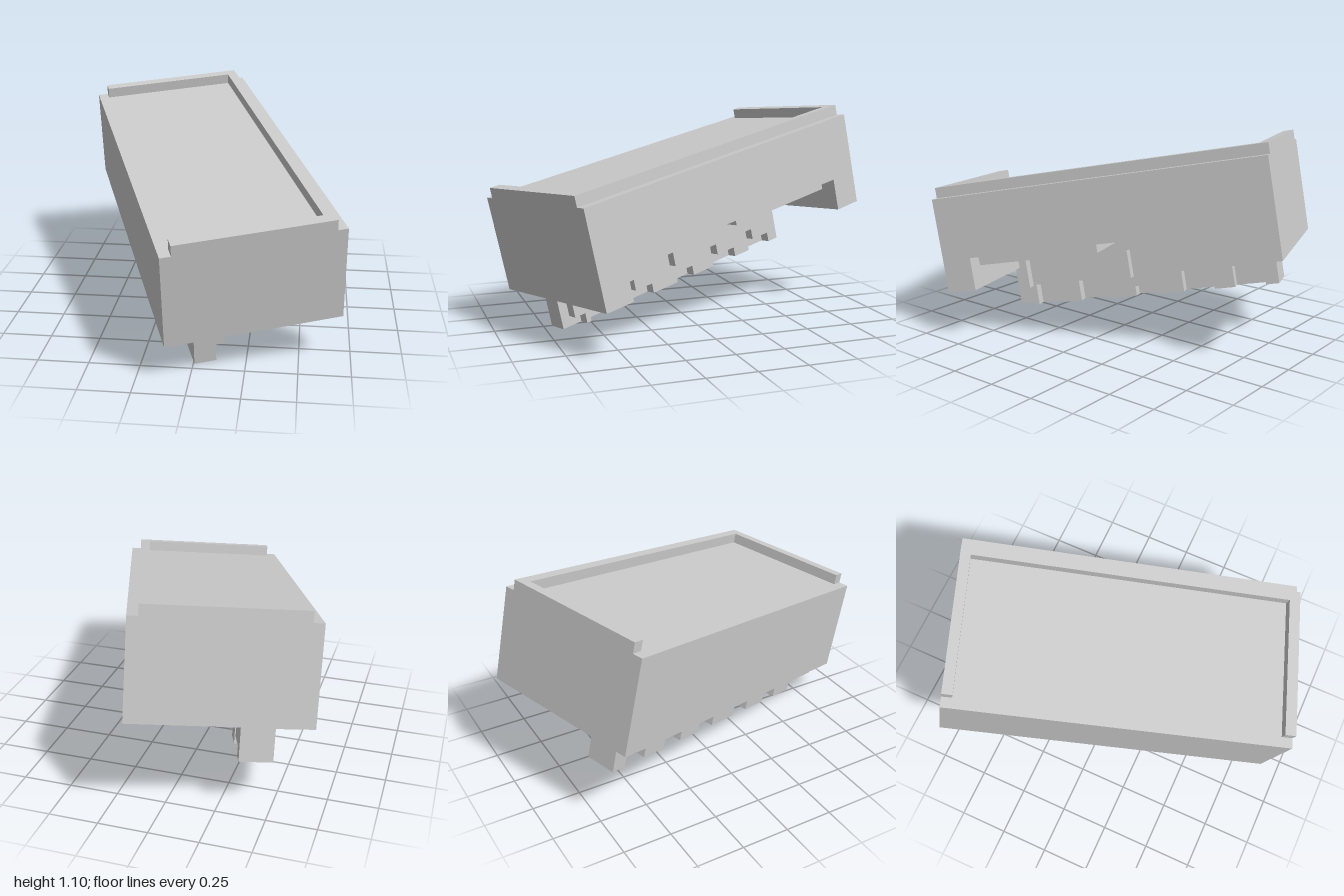
import * as THREE from 'three';

const material = new THREE.MeshStandardMaterial({ color: 0xcccccc, flatShading: true });

export function createModel() {
  const model = new THREE.Group();
  model.name = 'tiltedHousing';
  // The whole part lies tipped forward and turned; below, x = width, y = height, z = length.
  const housing = new THREE.Group();
  housing.name = 'housing';
  housing.rotation.set(0.2, 0.352, 0);
  model.add(housing);

  const add = (name, geometry) => {
    const mesh = new THREE.Mesh(geometry, material);
    mesh.name = name;
    housing.add(mesh);
  };

  // Box given by its limits on each axis
  const box = (name, x0, x1, y0, y1, z0, z1) => {
    const g = new THREE.BoxGeometry(x1 - x0, y1 - y0, z1 - z0);
    g.translate((x0 + x1) / 2, (y0 + y1) / 2, (z0 + z1) / 2);
    add(name, g);
  };

  // Side profile of [z, y] points, extruded across the width from x0 to x1
  const slab = (name, x0, x1, points) => {
    const shape = new THREE.Shape(points.map(([z, y]) => new THREE.Vector2(-z, y)));
    const g = new THREE.ExtrudeGeometry(shape, { depth: x1 - x0, bevelEnabled: false });
    g.rotateY(Math.PI / 2);
    g.translate(x0, 0, 0);
    add(name, g);
  };

  const left = -0.393, right = 0.472, back = -0.99, front = 0.756;
  const base = 0.358, top = 0.849, wall = -0.07;

  // Main body: solid side, and a side hollowed out from below
  box('solidSide', left, wall, base, top, back, front);
  slab('hollowSide', wall, right, [
    [back, base], [-0.83, base], [-0.83, 0.527], [0.6, 0.527],
    [0.6, base], [front, base], [front, top], [back, top],
  ]);

  // Thicker ceiling pads inside the hollow, with a channel between them
  box('ceilingPadFront', wall, 0.38, 0.47, 0.527, -0.06, 0.6);
  box('ceilingPadBack', wall, 0.38, 0.47, 0.527, -0.83, -0.17);

  // Three-sided rim on the top, open on one long side
  const rim = new THREE.Shape([
    [-0.34, -front], [0.421, -front], [0.421, -back], [-0.34, -back],
    [-0.34, 0.938], [0.37, 0.938], [0.37, -0.699], [-0.34, -0.699],
  ].map(([x, y]) => new THREE.Vector2(x, y)));
  const rimGeometry = new THREE.ExtrudeGeometry(rim, { depth: 0.903 - top, bevelEnabled: false });
  rimGeometry.rotateX(-Math.PI / 2);
  rimGeometry.translate(0, top, 0);
  add('topRim', rimGeometry);

  // Ledge under the solid side
  const railBack = -0.855, railFront = 0.652, foot = 0.14, notchTop = 0.193;
  box('ledge', -0.347, -0.233, 0.307, base, railBack, railFront);

  // Toothed rail: a plain web with notched layers on both faces
  box('railWeb', -0.175, -0.125, foot, base, railBack, railFront);

  const outer = [[railFront, base], [railFront, foot]];
  for (const [z1, z0] of [[0.505, 0.39], [0.23, 0.11], [-0.08, -0.2], [-0.35, -0.48], [-0.63, -0.77]]) {
    outer.push([z1, foot], [z1, notchTop], [z0, notchTop], [z0, foot]);
  }
  outer.push([railBack, foot], [railBack, base]);
  slab('railOuterTeeth', -0.233, -0.175, outer);

  const inner = [[0.603, base], [0.603, notchTop], [0.541, notchTop], [0.541, foot]];
  for (const [z1, z0, stepped] of [[0.515, 0.37, 1], [0.255, 0.1, 1], [-0.07, -0.19, 0], [-0.34, -0.51, 1], [-0.62, -0.785, 1]]) {
    inner.push([z1, foot]);
    if (stepped) inner.push([z1, 0.253], [z1 - 0.045, 0.253], [z1 - 0.045, notchTop]);
    else inner.push([z1, notchTop]);
    inner.push([z0, notchTop], [z0, foot]);
  }
  inner.push([railBack, foot], [railBack, base]);
  slab('railInnerTeeth', -0.125, wall, inner);

  // Slim upright ribs on the inner wall
  for (const z of [0.562, -0.04]) box('wallRib', wall, -0.02, 0.248, 0.47, z - 0.03, z);

  return model;
}
